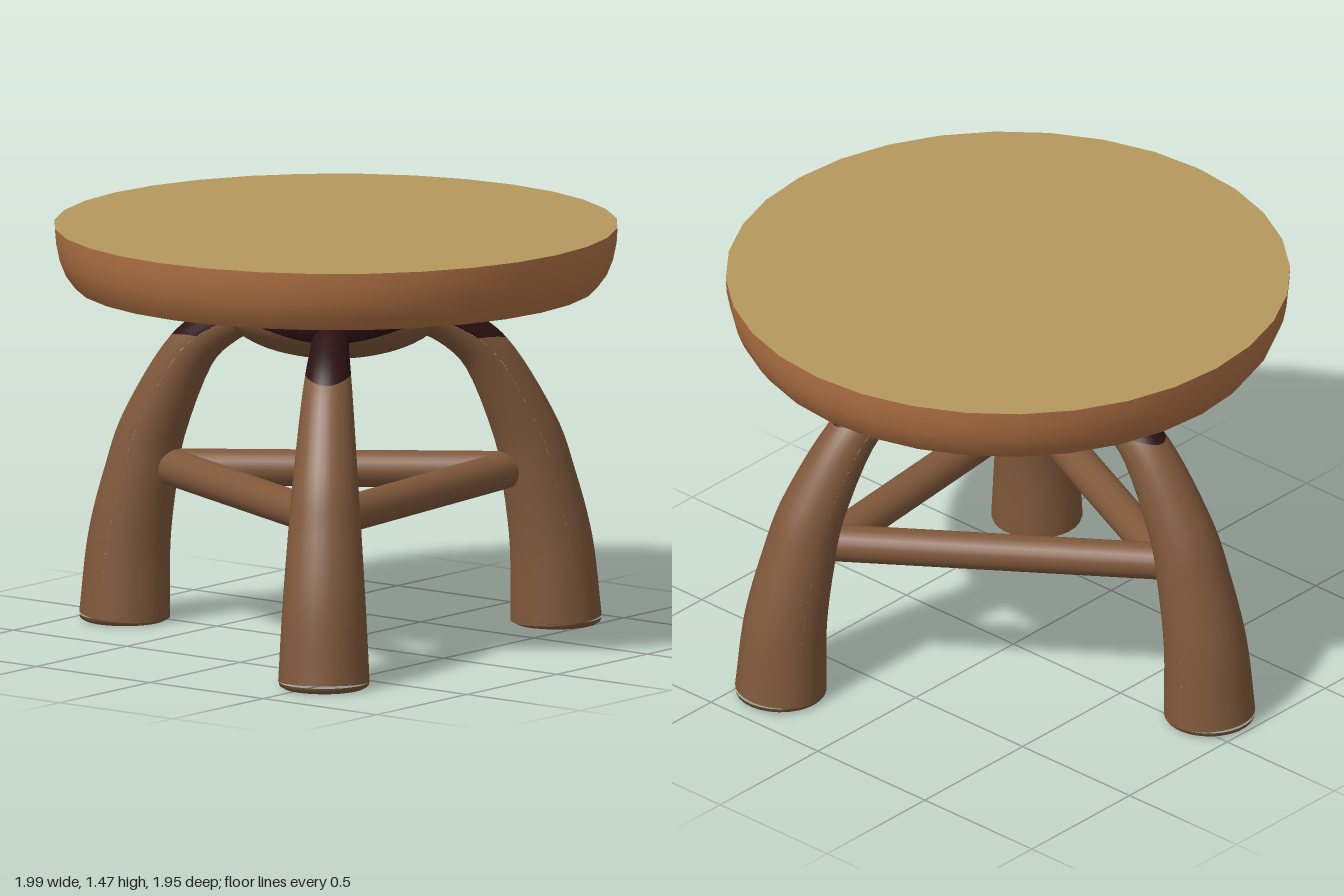
import * as THREE from 'three';
import { ParametricGeometry } from 'three/addons/geometries/ParametricGeometry.js';

const mat = (name, color) => {
  const m = new THREE.MeshStandardMaterial({ color });
  m.name = name;
  return m;
};

export function createModel() {
  const tan = mat('seatTan', 0xb6985d);
  const rimBrown = mat('rimBrown', 0xb07144);
  const underBrown = mat('undersideBrown', 0x68492f);
  const wood = mat('wood', 0x80583b);
  const darkWood = mat('darkWood', 0x2c1113);

  const model = new THREE.Group();
  model.name = 'stool';

  const add = (parent, name, geometry, material) => {
    const mesh = new THREE.Mesh(geometry, material);
    mesh.name = name;
    parent.add(mesh);
    return mesh;
  };
  const v2 = (pts) => pts.map(([x, y]) => new THREE.Vector2(x, y));

  // Seat: curved rim with flat top and underside
  const seat = new THREE.Group();
  seat.name = 'seat';
  seat.position.x = 0.025;
  model.add(seat);
  const rim = v2([[0.905, 1.26], [0.938, 1.305], [0.96, 1.36], [0.972, 1.42], [0.975, 1.47]]);
  add(seat, 'seatRim', new THREE.LatheGeometry(rim, 32), rimBrown);
  const top = add(seat, 'seatTop', new THREE.CircleGeometry(0.975, 32), tan);
  top.rotation.x = -Math.PI / 2;
  top.position.y = 1.47;
  const under = add(seat, 'seatUnderside', new THREE.CircleGeometry(0.905, 32), underBrown);
  under.rotation.x = Math.PI / 2;
  under.position.y = 1.26;

  const base = new THREE.Group();
  base.name = 'base';
  base.position.x = 0.02;
  model.add(base);
  const legAngles = [54, 174, 294].map(THREE.MathUtils.degToRad);

  // Hub: flattened ball, dark above a wavy line that dips at the legs
  const hubPoint = (e, a, target) => target.set(
    0.385 * Math.cos(e) * Math.cos(a),
    1.18 + 0.17 * Math.sin(e),
    0.385 * Math.cos(e) * Math.sin(a));
  const paintLine = (a) => Math.asin((-0.04 - 0.03 * Math.cos(3 * (a - legAngles[0]))) / 0.17);
  const hubBand = (from, to) => new ParametricGeometry((u, v, target) => {
    const a = v * Math.PI * 2;
    hubPoint(THREE.MathUtils.lerp(from(a), to(a), u), a, target);
  }, 12, 48);
  add(base, 'hubLower', hubBand(() => -Math.PI / 2 + 0.001, paintLine), wood);
  add(base, 'hubUpper', hubBand(paintLine, () => 0.65), darkWood);

  // Leg path: x = distance from the middle, y = height, z = leg radius
  const path = new THREE.CatmullRomCurve3([
    [0.86, 0.02, 0.158], [0.842, 0.28, 0.144], [0.795, 0.51, 0.128], [0.738, 0.7, 0.113],
    [0.592, 0.965, 0.088], [0.435, 1.085, 0.07], [0.29, 1.135, 0.06],
  ].map((p) => new THREE.Vector3(...p)), false, 'catmullrom', 0.5);
  const legPoint = (s, a, target) => {
    const c = path.getPoint(s);
    const t = path.getTangent(s);
    const len = Math.hypot(t.x, t.y);
    const out = c.z * Math.cos(a);
    target.set(c.x + out * t.y / len, c.y - out * t.x / len, c.z * Math.sin(a));
  };
  // Half shell of the leg between two limits along the path
  const legShell = (from, to, start) => new ParametricGeometry((u, v, target) => {
    const a = start + v * Math.PI;
    legPoint(THREE.MathUtils.lerp(from(a), to(a), u), a, target);
  }, 24, 14);
  const foot = () => 0;
  const tip = () => 1;
  const paintStart = (a) => 0.667 + 0.08 * (1 - Math.cos(a));
  const outerGeo = legShell(foot, paintStart, -Math.PI / 2);
  const innerGeo = legShell(foot, tip, Math.PI / 2);
  const darkGeo = legShell(paintStart, tip, -Math.PI / 2);
  const footGeo = new THREE.LatheGeometry(
    v2([[0, 0], [0.14, 0], [0.14, 0], [0.154, 0.008], [0.158, 0.022]]), 28);
  const barGeo = new THREE.CylinderGeometry(0.064, 0.064, 1.16, 24);

  // Three legs, each with the crossbar that runs to the next leg
  legAngles.forEach((angle) => {
    const leg = new THREE.Group();
    leg.name = 'leg';
    leg.rotation.y = -angle;
    base.add(leg);
    add(leg, 'legOuter', outerGeo, wood);
    add(leg, 'legInner', innerGeo, wood);
    add(leg, 'legDarkTop', darkGeo, darkWood);
    add(leg, 'foot', footGeo, wood).position.x = 0.86;

    const brace = new THREE.Group();
    brace.name = 'brace';
    brace.rotation.y = -(angle + Math.PI / 3);
    base.add(brace);
    const bar = add(brace, 'crossbar', barGeo, wood);
    bar.rotation.x = Math.PI / 2;
    bar.position.set(0.335, 0.552, 0);
  });

  return model;
}
